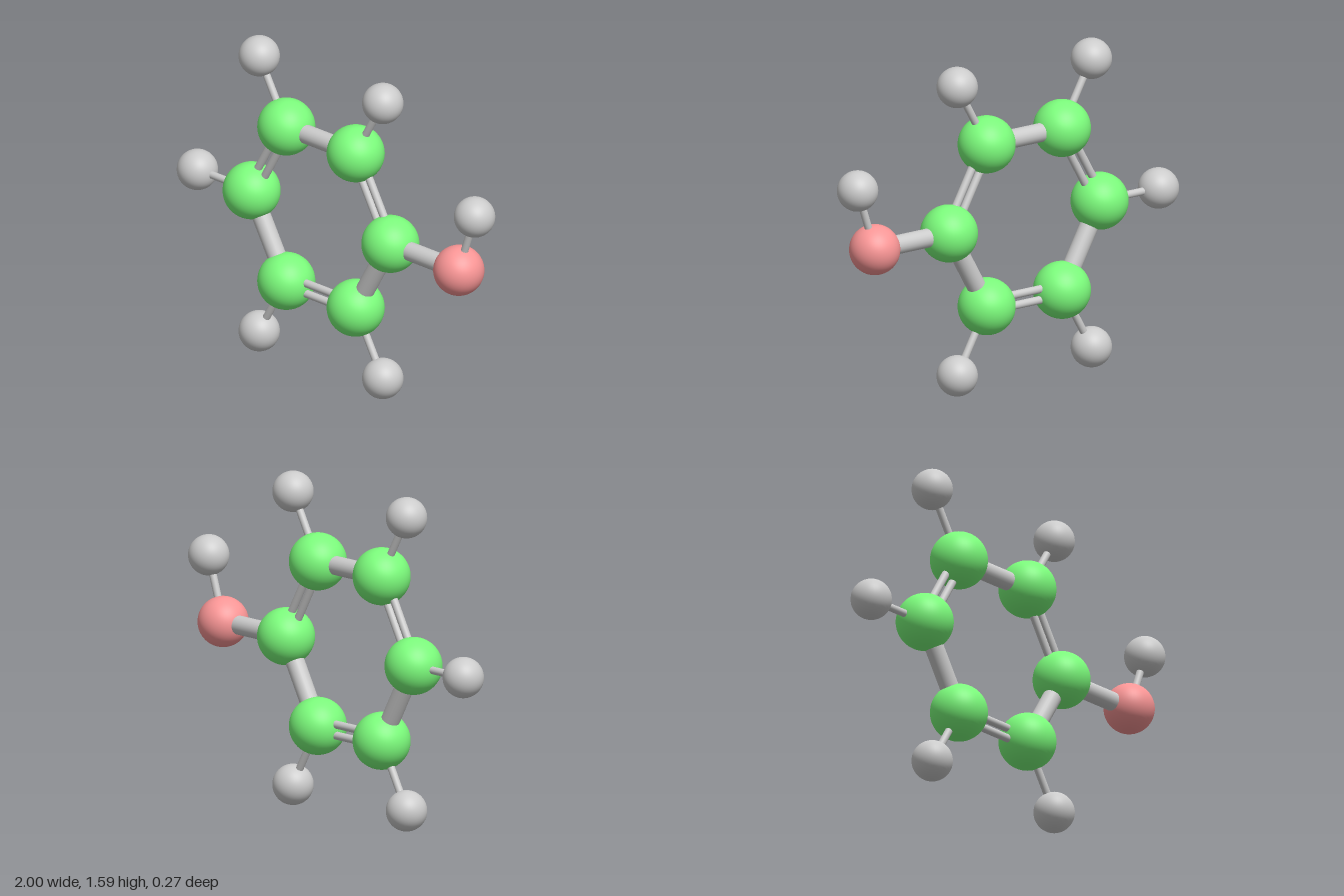
import * as THREE from 'three';

const RING_X = -0.1, MID_Y = 0.798;
const RING_R = 0.453, OUTER_R = 0.807;

export function createModel() {
  const model = new THREE.Group();
  model.name = 'molecule';

  const grey = new THREE.MeshStandardMaterial({ color: 0xcccccc });
  const green = new THREE.MeshStandardMaterial({ color: 0x7cfc7c });
  const red = new THREE.MeshStandardMaterial({ color: 0xfa9696 });

  const carbonGeo = new THREE.SphereGeometry(0.136, 48, 32);
  const hydrogenGeo = new THREE.SphereGeometry(0.097, 40, 28);
  const oxygenGeo = new THREE.SphereGeometry(0.12, 48, 32);

  function atom(name, geometry, material, position) {
    const mesh = new THREE.Mesh(geometry, material);
    mesh.name = name;
    mesh.position.copy(position);
    model.add(mesh);
  }

  // Rod between two points, optionally shifted sideways in the ring plane
  function bond(name, a, b, radius, shift = 0) {
    const dir = b.clone().sub(a);
    const mesh = new THREE.Mesh(
      new THREE.CylinderGeometry(radius, radius, dir.length(), 24, 1, true), grey);
    mesh.name = name;
    dir.normalize();
    mesh.position.copy(a).add(b).multiplyScalar(0.5);
    mesh.position.add(new THREE.Vector3(-dir.y, dir.x, 0).multiplyScalar(shift));
    mesh.quaternion.setFromUnitVectors(new THREE.Vector3(0, 1, 0), dir);
    model.add(mesh);
  }

  const around = (radius, i) => new THREE.Vector3(
    RING_X + radius * Math.cos(i * Math.PI / 3),
    MID_Y + radius * Math.sin(i * Math.PI / 3), 0);

  // Six-atom ring with alternating double and single bonds
  for (let i = 0; i < 6; i++) {
    const here = around(RING_R, i), next = around(RING_R, i + 1);
    atom('carbonAtom', carbonGeo, green, here);
    if (i % 2 === 0) {
      for (const side of [-1, 1]) bond('doubleBondRod', here, next, 0.019, side * 0.026);
    } else {
      bond('singleBond', here, next, 0.045);
    }

    // Outer hydrogens on every corner but the first
    if (i > 0) {
      const outer = around(OUTER_R, i);
      atom('hydrogenAtom', hydrogenGeo, grey, outer);
      bond('hydrogenBond', here, outer, 0.018);
    }
  }

  // Side group: oxygen with its own hydrogen
  const oxygen = new THREE.Vector3(0.8, MID_Y, 0);
  const tip = new THREE.Vector3(0.903, 1.1, 0);
  atom('oxygenAtom', oxygenGeo, red, oxygen);
  bond('oxygenBond', around(RING_R, 0), oxygen, 0.045);
  atom('tipHydrogenAtom', hydrogenGeo, grey, tip);
  bond('tipHydrogenBond', oxygen, tip, 0.018);

  return model;
}
